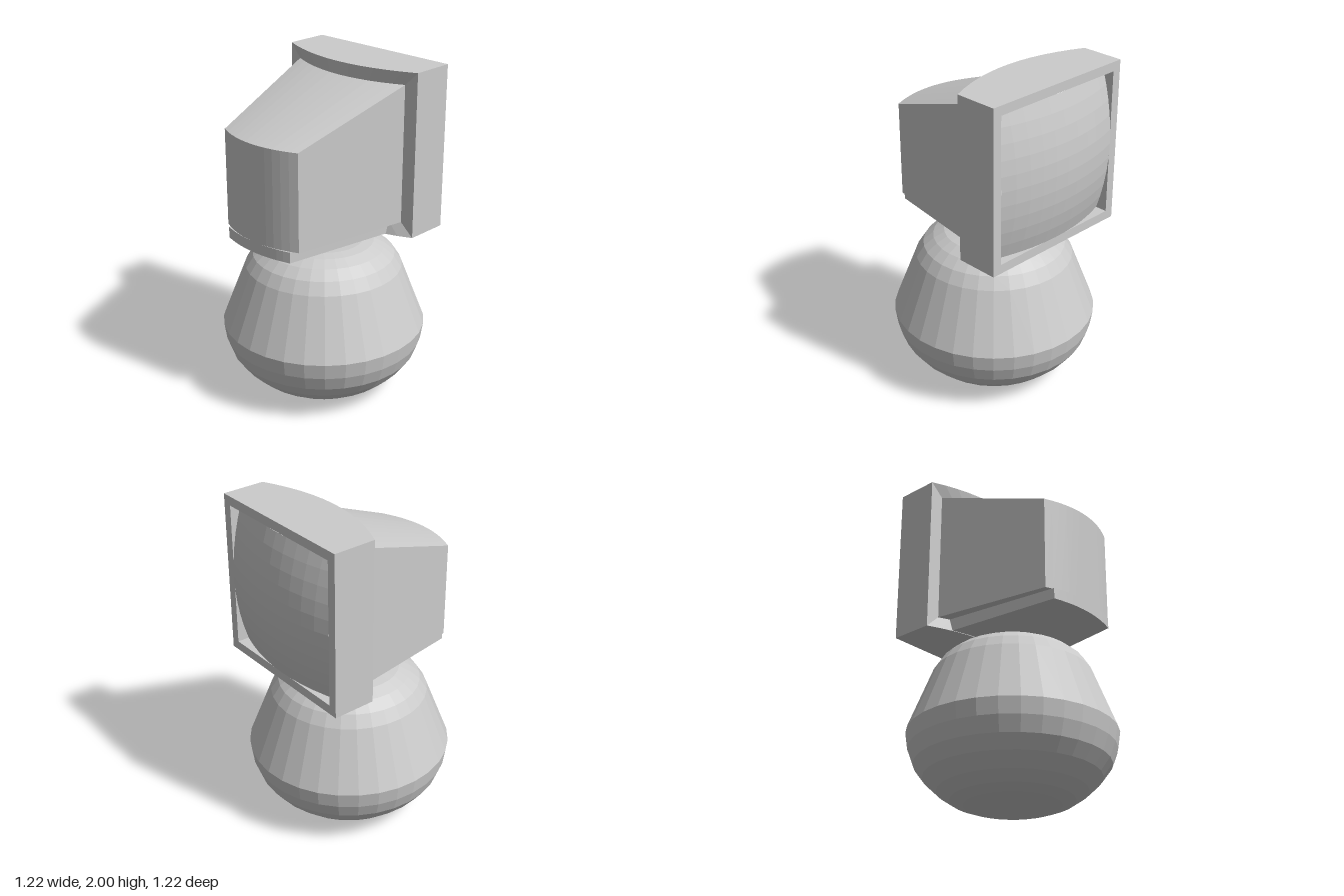
import * as THREE from 'three';

const SEG = 12;
const material = new THREE.MeshStandardMaterial({ color: 0xcccccc, flatShading: true });

// Rectangular ring of points whose depth bows with x: z = z0 - bow * x^2
function ring(halfWidth, bottom, top, z0, bow = 0) {
  const points = [];
  for (const [y, dir] of [[bottom, 1], [top, -1]]) {
    for (let i = 0; i <= SEG; i++) {
      const x = dir * halfWidth * (2 * i / SEG - 1);
      points.push([x, y, z0 - bow * x * x]);
    }
  }
  return points;
}

// Skin a list of rings, optionally closing the last one
function loft(rings, cap) {
  const n = rings[0].length;
  const index = [];
  const quad = (a, b, c, d) => index.push(a, b, c, a, c, d);
  for (let r = 0; r < rings.length - 1; r++) {
    for (let j = 0; j < n; j++) {
      const k = (j + 1) % n;
      quad(r * n + j, r * n + k, (r + 1) * n + k, (r + 1) * n + j);
    }
  }
  if (cap) {
    const o = (rings.length - 1) * n;
    for (let j = 0; j < SEG; j++) quad(o + j, o + j + 1, o + n - 2 - j, o + n - 1 - j);
  }
  const geometry = new THREE.BufferGeometry();
  geometry.setAttribute('position', new THREE.Float32BufferAttribute(rings.flat(2), 3));
  geometry.setIndex(index);
  return geometry;
}

export function createModel() {
  const model = new THREE.Group();
  const add = (name, geometry) => {
    const flat = geometry.index ? geometry.toNonIndexed() : geometry;
    flat.computeVertexNormals();
    const mesh = new THREE.Mesh(flat, material);
    mesh.name = name;
    model.add(mesh);
  };

  // Round body: bowl below, cone in the middle, rounded shoulder on top
  const profile = [
    [0, 0], [0.2, 0], [0.28, 0.012], [0.355, 0.04], [0.43, 0.09], [0.51, 0.165],
    [0.565, 0.24], [0.598, 0.33], [0.612, 0.425], [0.47, 0.79], [0.425, 0.86],
    [0.365, 0.91], [0.3, 0.943], [0.24, 0.955], [0, 0.955],
  ].map(([r, y]) => new THREE.Vector2(r, y));
  add('body', new THREE.LatheGeometry(profile, 32));

  // Monitor frame: screen recess, back border, outer walls, bowed front rim
  const rim = ring(0.41, 1.1, 1.92, -0.12, 0.6);
  add('monitorFrame', loft([
    ring(0.435, 1.075, 1.945, -0.4),
    ring(0.435, 1.075, 1.945, -0.49),
    ring(0.49, 1.02, 2, -0.49),
    ring(0.49, 1.02, 2, -0.11, 0.5),
    rim,
  ]));

  // Tapered housing with sloping top and bowed end
  add('monitorHousing', loft([rim, ring(0.29, 1.1, 1.675, 0.56, 0.83)], true));

  // Narrower plinth under the housing
  add('housingPlinth', loft([
    ring(0.345, 1.022, 1.1, -0.2),
    ring(0.25, 1.035, 1.1, 0.56, 0.64),
  ], true));

  // Bulging screen
  const screen = new THREE.PlaneGeometry(0.87, 0.87, 10, 10).rotateY(Math.PI);
  const p = screen.attributes.position;
  for (let i = 0; i < p.count; i++) {
    const x = p.getX(i), y = p.getY(i);
    p.setXYZ(i, x, y + 1.51, -0.568 + 0.4 * (x * x + y * y));
  }
  add('screen', screen);

  return model;
}
